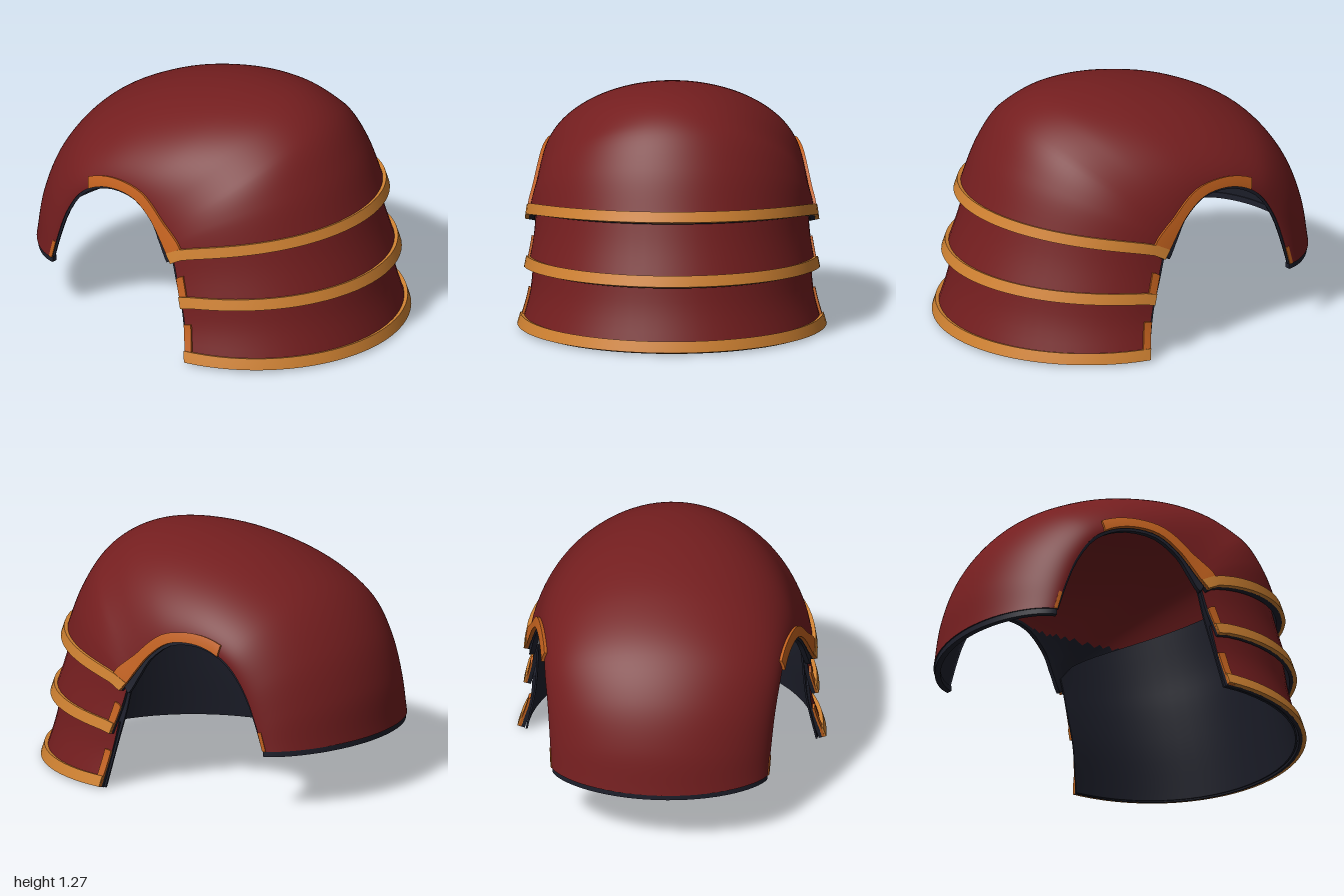
import * as THREE from 'three';
import { toCreasedNormals } from 'three/addons/utils/BufferGeometryUtils.js';

const mat = (name, color) => Object.assign(new THREE.MeshStandardMaterial({ color }), { name });
const smooth = THREE.MathUtils.smoothstep;

// Curved surface lofted between a ridge line and a mirrored side edge.
// rows: [ridgeX, ridgeY, edgeX, edgeY, edgeZ]; power(v) shapes each arch.
function loft(rows, power) {
  const ridge = new THREE.CatmullRomCurve3(rows.map(r => new THREE.Vector3(r[0], r[1], 0)));
  const edge = new THREE.CatmullRomCurve3(rows.map(r => new THREE.Vector3(r[2], r[3], r[4])));
  const point = (u, v) => {
    const s = ridge.getPoint(v), e = edge.getPoint(v);
    const c = Math.cos(u * Math.PI / 2);
    const bend = k => Math.sign(c) * Math.pow(Math.abs(c), k);
    return new THREE.Vector3(
      e.x + (s.x - e.x) * bend(Math.max(1, power(v))),
      e.y + (s.y - e.y) * bend(power(v)),
      e.z * Math.sin(u * Math.PI / 2));
  };
  // distance from side edge to ridge, seen from the front
  const span = v => {
    const s = ridge.getPoint(v), e = edge.getPoint(v);
    return Math.hypot(s.x - e.x, s.y - e.y);
  };
  return { point, span };
}

// Closed sheet over point(a, b), pushed out by `outer` and in by `inner` along its normals.
// materials: [outside, inside and rim, inner patch]; isPatch(p) selects the inner patch.
function sheet(name, point, na, nb, outer, inner, materials, isPatch = () => false) {
  const base = [], grid = [];
  const id = (i, j) => i * (nb + 1) + j;
  for (let i = 0; i <= na; i++)
    for (let j = 0; j <= nb; j++) base.push(point(i / na, j / nb));
  for (let i = 0; i < na; i++)
    for (let j = 0; j < nb; j++)
      grid.push([id(i, j), id(i + 1, j), id(i + 1, j + 1), id(i, j + 1)]);
  const quad = ([a, b, c, d]) => [a, b, c, a, c, d];
  const ref = new THREE.BufferGeometry().setFromPoints(base);
  ref.setIndex(grid.flatMap(quad));
  ref.computeVertexNormals();
  const normals = base.map((p, i) => new THREE.Vector3().fromBufferAttribute(ref.attributes.normal, i));
  const top = base.map((p, i) => p.clone().addScaledVector(normals[i], outer));
  const under = base.map((p, i) => p.clone().addScaledVector(normals[i], -inner));
  const all = [...top, ...under].map(p => p.setY(Math.max(0, p.y)));

  const n = base.length, faces = [[], [], []];
  for (const q of grid) {
    faces[0].push(...quad(q));
    const middle = base[q[0]].clone().lerp(base[q[2]], 0.5);
    faces[isPatch(middle) ? 2 : 1].push(...quad([...q].reverse().map(k => k + n)));
  }
  // rim strips
  const wall = (p, q) => faces[1].push(...quad([q, p, p + n, q + n]));
  for (let i = 0; i < na; i++) {
    wall(id(i, 0), id(i + 1, 0));
    wall(id(i + 1, nb), id(i, nb));
  }
  for (let j = 0; j < nb; j++) {
    wall(id(na, j), id(na, j + 1));
    wall(id(0, j + 1), id(0, j));
  }
  const geo = new THREE.BufferGeometry().setFromPoints(all);
  geo.setIndex(faces.flat());
  let start = 0;
  faces.forEach((f, k) => {
    if (f.length) geo.addGroup(start, f.length, k);
    start += f.length;
  });
  const mesh = new THREE.Mesh(toCreasedNormals(geo, 0.7), materials);
  mesh.name = name;
  return mesh;
}

export function createModel() {
  const red = mat('deep red', 0x741e1f);
  const navy = mat('dark lining', 0x1e202c);
  const gold = mat('gold trim', 0xd08232);
  const orange = mat('orange trim', 0xc4621e);
  const model = new THREE.Group();
  model.name = 'shoulderArmour';

  const shell = (name, s, nu, nv, thick, isPatch) => sheet(name,
    (a, b) => s.point(a * 2 - 1, b), nu, nv, 0, thick, [red, navy, red], isPatch);

  // band along the lower rim
  const rimBand = (name, s, height) => sheet(name, (a, b) => {
    const u = a * 2 - 1;
    const speed = s.point(u, 1).distanceTo(s.point(u, 0.96)) / 0.04;
    return s.point(u, 1 - (1 - b) * height / speed);
  }, 40, 2, 0.02, 0.002, [gold, gold, gold]);

  // band along the front (side = 1) or back (side = -1) edge between v0 and v1,
  // reaching from w0 to w1 inward of the edge (negative w0 stands out past it)
  const edgeBand = (name, s, side, [v0, v1], [w0, w1], outer, inner, material) => sheet(name, (a, b) => {
    const v = v0 + (v1 - v0) * b;
    const w = w0 + (w1 - w0) * (side > 0 ? 1 - a : a);
    return s.point(side * (1 - Math.asin(w / s.span(v)) * 2 / Math.PI), v);
  }, 2, 24, outer, inner, [material, material, material]);

  // domed cap: outer lobe, arch over the neck side, and flared rim
  const cap = loft([
    [-1, 0.33, -0.72, 0.32, 0.57],
    [-0.96, 0.57, -0.68, 0.46, 0.58],
    [-0.86, 0.81, -0.62, 0.62, 0.595],
    [-0.68, 1.02, -0.53, 0.755, 0.615],
    [-0.4, 1.17, -0.42, 0.825, 0.63],
    [-0.1, 1.25, -0.3, 0.85, 0.65],
    [0.2, 1.275, -0.17, 0.83, 0.675],
    [0.45, 1.24, -0.065, 0.75, 0.7],
    [0.62, 1.14, 0, 0.665, 0.72],
    [0.75, 0.95, 0.045, 0.6, 0.735],
    [0.86, 0.68, 0.085, 0.545, 0.75],
  ], v => 1.13 + 0.17 * (1 - smooth(v, 0, 0.4)) - 0.58 * smooth(v, 0.7, 1));
  model.add(shell('domedCap', cap, 64, 72, 0.03, p => p.y > 0.83 && p.z < 0.43));
  model.add(rimBand('capRimTrim', cap, 0.058));

  // dark lip under the lobe
  model.add(sheet('lobeLip', (a, b) => {
    const p = cap.point(a * 2 - 1, 0);
    p.y -= 0.03 * (1 - b);
    return p;
  }, 32, 1, -0.006, 0.036, [navy, navy, navy]));

  // two overlapping lower plates
  const upper = loft([
    [0.81, 0.72, 0.06, 0.6, 0.71],
    [0.86, 0.55, 0.1, 0.45, 0.725],
    [0.93, 0.35, 0.145, 0.3, 0.755],
  ], () => 0.55);
  const lower = loft([
    [0.88, 0.4, 0.12, 0.36, 0.725],
    [0.915, 0.22, 0.155, 0.19, 0.74],
    [0.978, 0.01, 0.185, 0.01, 0.79],
  ], () => 0.55);
  model.add(shell('upperPlate', upper, 32, 8, 0.02));
  model.add(rimBand('upperPlateTrim', upper, 0.06));
  model.add(shell('lowerPlate', lower, 32, 8, 0.02));
  model.add(rimBand('lowerPlateTrim', lower, 0.06));

  // smooth dark lining behind the plates
  const lining = loft([
    [0.72, 0.94, 0.04, 0.6, 0.695],
    [0.79, 0.69, 0.06, 0.53, 0.7],
    [0.83, 0.5, 0.085, 0.42, 0.705],
    [0.885, 0.27, 0.13, 0.25, 0.72],
    [0.95, 0.01, 0.175, 0.005, 0.765],
  ], () => 0.6);
  model.add(sheet('plateLining', (a, b) => lining.point(a * 2 - 1, b), 32, 16, 0, 0.01, [navy, navy, navy]));

  // trim and dark lip on the front and back edges
  for (const [side, label] of [[1, 'front'], [-1, 'back']]) {
    model.add(edgeBand(label + 'ArchTrim', cap, side, [0.36, 1], [0, 0.072], 0.016, 0.002, orange));
    model.add(edgeBand(label + 'LobeTrim', cap, side, [0, 0.07], [0, 0.035], 0.004, 0.002, orange));
    model.add(edgeBand(label + 'ArchLip', cap, side, [0, 0.96], [-0.025, 0.005], -0.006, 0.032, navy));
    model.add(edgeBand(label + 'UpperPlateEdge', upper, side, [0.5, 1], [0, 0.04], 0.01, 0.002, orange));
    model.add(edgeBand(label + 'LowerPlateEdge', lower, side, [0.47, 1], [0, 0.04], 0.012, 0.002, orange));
  }
  return model;
}
